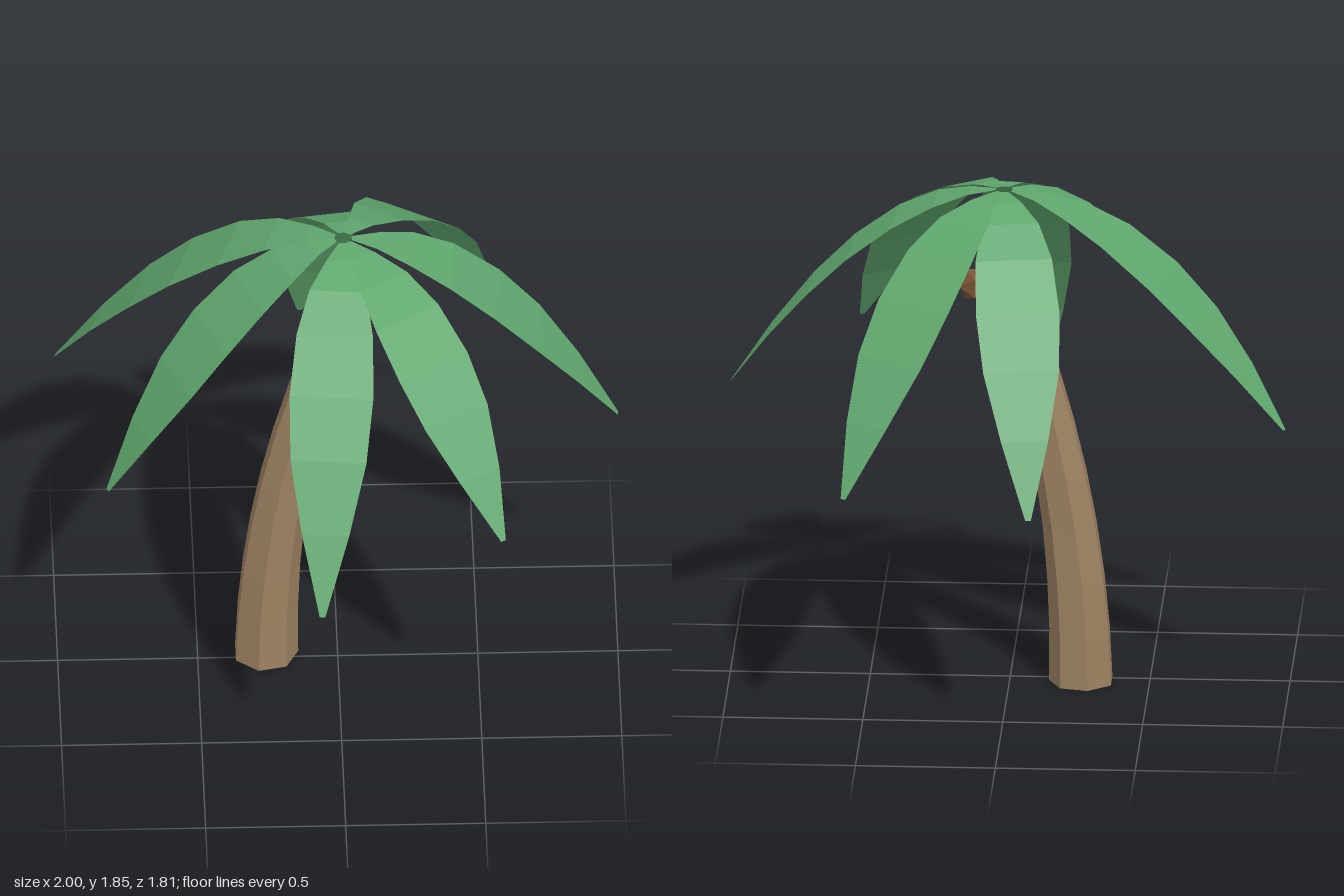
import * as THREE from 'three';

const mat = (color, extra = {}) =>
  new THREE.MeshStandardMaterial({ color, flatShading: true, ...extra });

const CROWN = { x: 0.02, y: 1.85, z: -0.033 };

// Seven-sided tapering trunk, bent sideways by a parabola
function makeTrunk() {
  const height = 1.56;
  const geo = new THREE.CylinderGeometry(0.073, 0.118, height, 7, 8, false, Math.PI / 2);
  geo.translate(0, height / 2, 0);
  const p = geo.attributes.position;
  for (let i = 0; i < p.count; i++) {
    const y = p.getY(i);
    p.setX(i, p.getX(i) - 0.258 + 0.117 * y * y);
    p.setZ(i, p.getZ(i) + CROWN.z);
  }
  geo.computeVertexNormals();
  const trunk = new THREE.Mesh(geo, mat(0x9c8161));
  trunk.name = 'trunk';
  return trunk;
}

// Position along a frond and the half width there
const STATIONS = [
  [0, 0.012], [0.1, 0.05], [0.23, 0.102], [0.38, 0.137],
  [0.55, 0.15], [0.7, 0.136], [0.85, 0.085], [1, 0.01],
];

// Flat leaf strip that droops from the crown to its tip
function makeFrond(tipX, tipY, tipZ, material) {
  const dir = new THREE.Vector2(tipX - CROWN.x, tipZ - CROWN.z);
  const reach = dir.length();
  dir.normalize();
  const start = 0.03;
  const pos = [];
  const index = [];
  STATIONS.forEach(([t, w], i) => {
    const r = start + (reach - start) * t;
    const y = CROWN.y - (CROWN.y - tipY) * Math.pow(t, 1.92);
    for (const s of [-1, 1]) {
      pos.push(CROWN.x + dir.x * r - dir.y * w * s, y, CROWN.z + dir.y * r + dir.x * w * s);
    }
    if (i > 0) {
      const a = 2 * i - 2;
      index.push(a, a + 1, a + 2, a + 1, a + 3, a + 2);
    }
  });
  const geo = new THREE.BufferGeometry();
  geo.setAttribute('position', new THREE.Float32BufferAttribute(pos, 3));
  geo.setIndex(index);
  geo.computeVertexNormals();
  const frond = new THREE.Mesh(geo, material);
  frond.name = 'frond';
  return frond;
}

export function createModel() {
  const tree = new THREE.Group();
  tree.name = 'palmTree';
  tree.add(makeTrunk());

  // Faceted bud where trunk and fronds meet
  const bud = new THREE.Mesh(new THREE.IcosahedronGeometry(0.1, 0), mat(0x9da45f));
  bud.name = 'crownBud';
  bud.scale.y = 0.75;
  bud.position.set(CROWN.x, 1.62, CROWN.z);
  tree.add(bud);

  // Coconuts hanging around the top of the trunk
  const nutMat = mat(0x7a5539);
  const nuts = [[0.12, -0.09], [-0.03, -0.125], [-0.04, 0.05]];
  nuts.forEach(([x, z], i) => {
    const nut = new THREE.Mesh(new THREE.IcosahedronGeometry(0.066, 0), nutMat);
    nut.name = 'coconut';
    nut.position.set(x, 1.51, z);
    nut.rotation.y = i * 2.1;
    tree.add(nut);
  });

  // Ring of fronds, each given by its tip
  const fronds = new THREE.Group();
  fronds.name = 'fronds';
  const leafMat = mat(0x5fa66d, { side: THREE.DoubleSide });
  const tips = [
    [1, 1.09, 0.03], [0.57, 1.09, 0.77], [-0.08, 0.86, 0.9], [-0.83, 0.99, 0.3],
    [-1, 1.08, -0.38], [-0.11, 0.89, -0.87], [0.55, 0.97, -0.9],
  ];
  tips.forEach(([x, y, z]) => fronds.add(makeFrond(x, y, z, leafMat)));
  tree.add(fronds);

  return tree;
}
